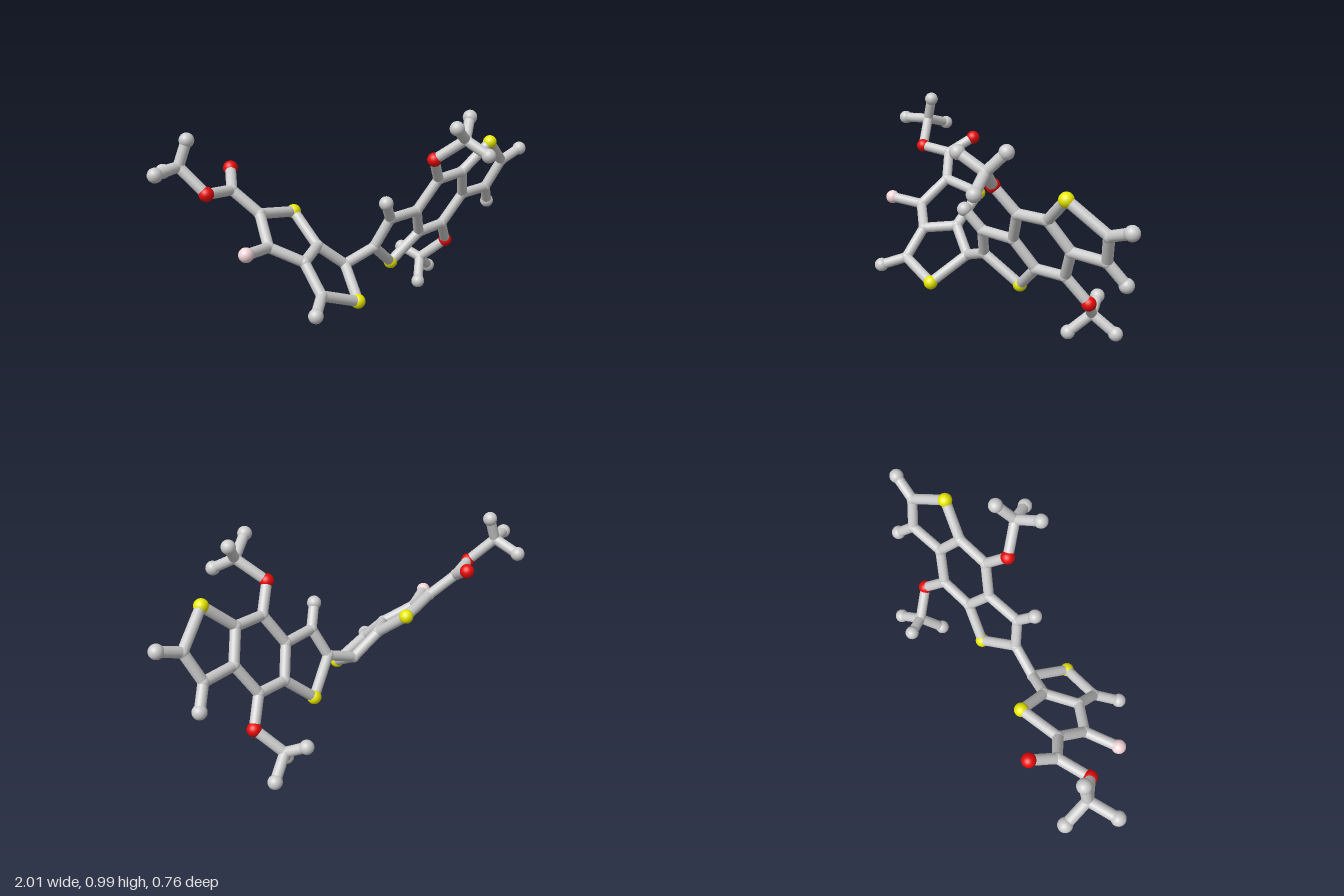
import * as THREE from 'three';

const STICK = 0.025, JOINT = 0.028, BALL = 0.034;
const material = (color) => new THREE.MeshStandardMaterial({ color });
const grey = material(0xcccccc);
const kinds = {
  C: { name: 'carbonJoint', radius: JOINT, mat: grey },
  H: { name: 'hydrogenBall', radius: BALL, mat: grey },
  S: { name: 'sulfurBall', radius: BALL, mat: material(0xe8e800) },
  O: { name: 'oxygenBall', radius: BALL, mat: material(0xe80a0a) },
  F: { name: 'fluorineBall', radius: BALL, mat: material(0xf5d5d8) },
};

// Flat fused core: point-symmetric about its centre and lying in one tilted plane
const CENTRE = [0.442, 0.505, -0.01];
const inPlane = (dx, dy) => [CENTRE[0] + dx, CENTRE[1] + dy, CENTRE[2] - 0.291 * dx + 0.453 * dy];
const coreHalf = {
  ringTop: ['C', -0.068, 0.141],
  ringSide: ['C', -0.162, -0.013],
  ringLow: ['C', -0.097, -0.152],
  coreS: ['S', -0.249, -0.288],
  coreEnd: ['C', -0.403, -0.159],
  coreCH: ['C', -0.341, -0.016],
  coreH: ['H', -0.4, 0.081],
  coreO: ['O', -0.145, 0.262],
};

// Atoms of the side groups and of the left-hand ring pair
const atoms = {
  endH: ['H', 0.968, 0.712, -0.068],
  // upper methoxy group
  upC: ['C', 0.4, 0.868, 0.253],
  upH1: ['H', 0.299, 0.943, 0.327],
  upH2: ['H', 0.465, 0.96, 0.19],
  upH3: ['H', 0.465, 0.804, 0.347],
  // lower methoxy group
  lowC: ['C', 0.492, 0.135, -0.266],
  lowH1: ['H', 0.428, 0.038, -0.18],
  lowH2: ['H', 0.588, 0.054, -0.332],
  lowH3: ['H', 0.428, 0.182, -0.347],
  // twin five-sided rings
  linkC: ['C', -0.118, 0.286, 0.035],
  lowS: ['S', -0.151, 0.168, 0.223],
  lowCH: ['C', -0.35, 0.24, 0.25],
  lowCHH: ['H', -0.429, 0.194, 0.35],
  fusedA: ['C', -0.376, 0.366, 0.134],
  fusedB: ['C', -0.252, 0.393, 0.015],
  highS: ['S', -0.296, 0.526, -0.141],
  esterRingC: ['C', -0.498, 0.559, -0.072],
  fluoroC: ['C', -0.52, 0.441, 0.068],
  fluorine: ['F', -0.665, 0.455, 0.16],
  // ester and its methyl end
  carbonylC: ['C', -0.6, 0.667, -0.145],
  carbonylO: ['O', -0.556, 0.74, -0.266],
  esterO: ['O', -0.748, 0.681, -0.072],
  methylC: ['C', -0.841, 0.8, -0.155],
  methylH1: ['H', -0.798, 0.914, -0.154],
  methylH2: ['H', -0.969, 0.79, -0.086],
  methylH3: ['H', -0.872, 0.756, -0.284],
};

// Each chain is a run of atoms joined one to the next
const chains = [
  'endH coreEnd2', 'coreO upC upH1', 'upH2 upC upH3',
  'coreO2 lowC lowH1', 'lowH2 lowC lowH3',
  'coreEnd linkC lowS lowCH fusedA fusedB linkC', 'lowCH lowCHH',
  'fusedB highS esterRingC fluoroC fusedA', 'fluoroC fluorine',
  'esterRingC carbonylC esterO methylC methylH1', 'carbonylC carbonylO',
  'methylH2 methylC methylH3',
  'ringTop ringSide ringLow ringTop2 ringSide2 ringLow2 ringTop',
];
for (const [id, [kind, dx, dy]] of Object.entries(coreHalf)) {
  atoms[id] = [kind, ...inPlane(dx, dy)];
  atoms[id + '2'] = [kind, ...inPlane(-dx, -dy)];
}
for (const n of ['', '2']) {
  chains.push(`ringLow${n} coreS${n} coreEnd${n} coreCH${n} ringSide${n}`);
  chains.push(`coreCH${n} coreH${n}`, `ringTop${n} coreO${n}`);
}

export function createModel() {
  const model = new THREE.Group();
  model.name = 'stickMolecule';
  const balls = new THREE.Group();
  balls.name = 'atoms';
  const sticks = new THREE.Group();
  sticks.name = 'bonds';
  model.add(balls, sticks);

  const sphere = new THREE.SphereGeometry(1, 24, 16);
  const rod = new THREE.CylinderGeometry(STICK, STICK, 1, 20, 1, true);
  const up = new THREE.Vector3(0, 1, 0);
  const place = (id) => new THREE.Vector3(...atoms[id].slice(1));

  for (const id of Object.keys(atoms)) {
    const { name, radius, mat } = kinds[atoms[id][0]];
    const ball = new THREE.Mesh(sphere, mat);
    ball.name = name;
    ball.position.copy(place(id));
    ball.scale.setScalar(radius);
    balls.add(ball);
  }

  for (const chain of chains) {
    const ids = chain.split(' ');
    for (let i = 1; i < ids.length; i++) {
      const a = place(ids[i - 1]), b = place(ids[i]);
      const stick = new THREE.Mesh(rod, grey);
      stick.name = 'bondStick';
      stick.position.copy(a).lerp(b, 0.5);
      stick.scale.y = a.distanceTo(b);
      stick.quaternion.setFromUnitVectors(up, b.clone().sub(a).normalize());
      sticks.add(stick);
    }
  }
  return model;
}
